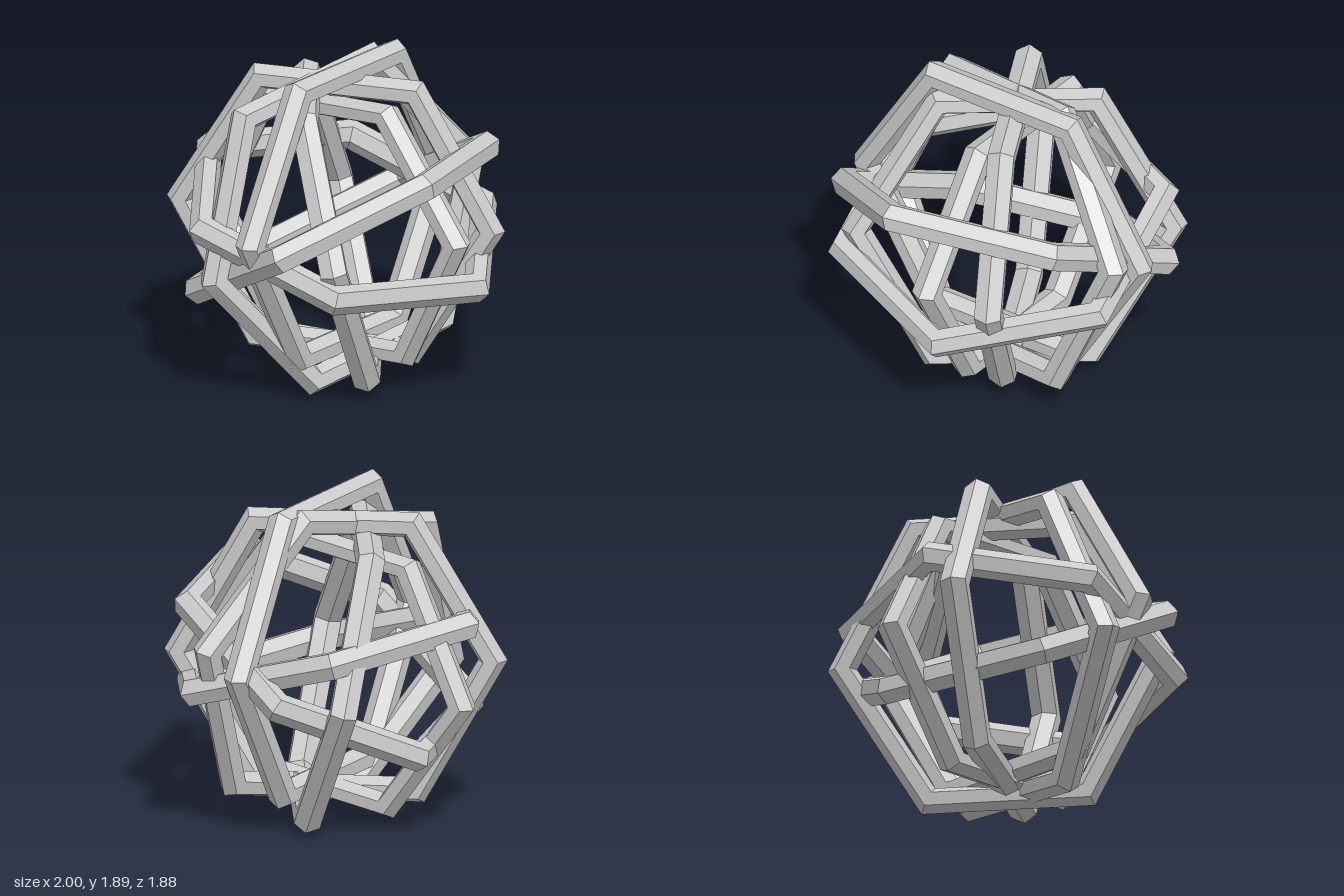
import * as THREE from 'three';

// Each hexagonal hoop: centre, vector to one corner (u), vector to the middle of the edge a quarter turn away (h)
const HOOPS = [
  // upright hoop facing the front
  { name: 'frontHoop', c: [0.01, 1.02, 0.07], u: [0.9, -0.02, -0.385], h: [0.0, 0.866, 0.0] },
  // upright hoop rolled a little
  { name: 'rolledHoop', c: [0, 0.94, 0.05], u: [0.98, 0.19, -0.12], h: [-0.165, 0.84, -0.14] },
  // upright hoops turned to the diagonals
  { name: 'diagonalHoop', c: [0, 0.95, -0.02], u: [0.695, -0.02, 0.695], h: [0.01, 0.845, 0.01] },
  { name: 'sideHoop', c: [0.01, 0.88, -0.03], u: [0.32, 0.09, 0.91], h: [-0.03, 0.765, -0.065] },
  { name: 'crossHoop', c: [0, 0.88, -0.015], u: [-0.505, 0.035, 0.835], h: [-0.147, 0.825, -0.125] },
  // lying hoops
  { name: 'lyingHoop', c: [0, 0.95, 0.06], u: [1.0, -0.1, 0], h: [0.035, 0.235, -0.83] },
  { name: 'tiltedHoop', c: [0, 0.945, 0.05], u: [0.87, 0.39, 0.26], h: [-0.37, 0.27, 0.76] },
];

const TUBE = 0.086;

export function createModel() {
  const group = new THREE.Group();
  group.name = 'hoopBall';
  const material = new THREE.MeshStandardMaterial({ color: 0xcccccc, flatShading: true });
  const apothem = Math.cos(Math.PI / 6);

  for (const { name, c, u, h } of HOOPS) {
    // six straight bars with a six-sided section, outer corners at radius 1
    const geometry = new THREE.TorusGeometry(1 - TUBE, TUBE, 6, 6);
    const xAxis = new THREE.Vector3(...u);
    const yAxis = new THREE.Vector3(...h).divideScalar(apothem);
    const zAxis = new THREE.Vector3().crossVectors(xAxis, yAxis).normalize();
    geometry.applyMatrix4(new THREE.Matrix4().makeBasis(xAxis, yAxis, zAxis));
    const hoop = new THREE.Mesh(geometry, material);
    hoop.name = name;
    hoop.position.set(...c);
    group.add(hoop);
  }
  return group;
}
